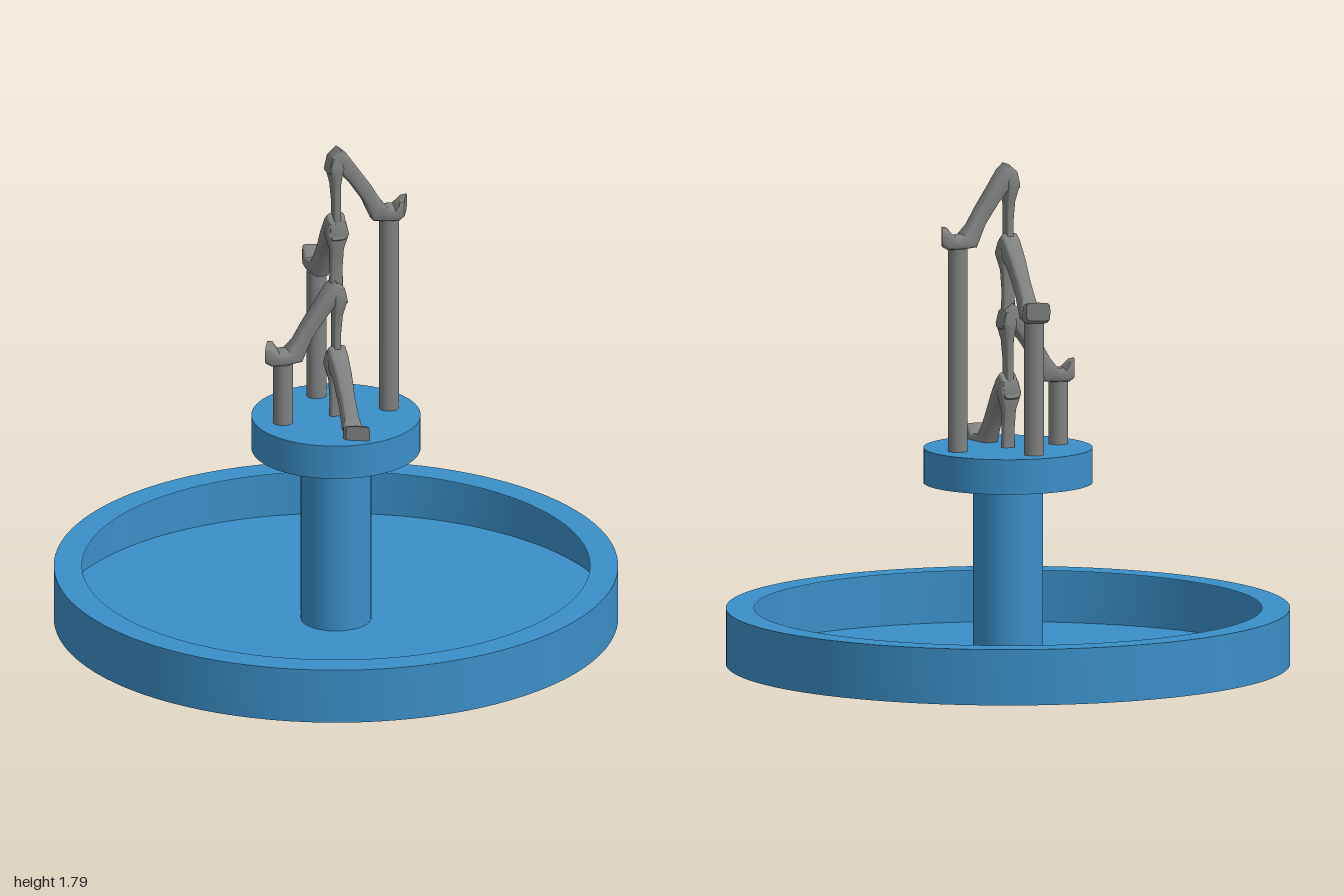
import * as THREE from 'three';
import { toCreasedNormals } from 'three/addons/utils/BufferGeometryUtils.js';

const SIDES = 16;

// Loft through rings: [topX, topY, bottomX, bottomY, zMin, zMax, skew]
function loft(rings) {
  const pos = [], idx = [];
  const centres = rings.map(([tx, ty, bx, by, z0, z1]) => [(tx + bx) / 2, (ty + by) / 2, (z0 + z1) / 2]);
  const square = (v) => (Math.abs(v) < 1e-6 ? 0 : Math.sign(v) * Math.pow(Math.abs(v), 0.4)); // boxy section
  rings.forEach(([tx, ty, bx, by, z0, z1, skew = 0], i) => {
    const [cx, cy, cz] = centres[i];
    for (let j = 0; j < SIDES; j++) {
      const t = (j / SIDES) * Math.PI * 2;
      const a = square(Math.cos(t)), b = square(Math.sin(t)) * (z1 - z0) / 2;
      pos.push(cx + a * (tx - bx) / 2 + skew * b, cy + a * (ty - by) / 2, cz + b);
    }
  });
  const last = rings.length - 1;
  pos.push(...centres[0], ...centres[last]);
  const start = rings.length * SIDES;
  for (let j = 0; j < SIDES; j++) {
    const k = (j + 1) % SIDES;
    for (let i = 0; i < last; i++) {
      const p = i * SIDES, q = p + SIDES;
      idx.push(p + j, q + j, p + k, p + k, q + j, q + k);
    }
    idx.push(start, j, k, start + 1, last * SIDES + k, last * SIDES + j);
  }
  const g = new THREE.BufferGeometry();
  g.setAttribute('position', new THREE.Float32BufferAttribute(pos, 3));
  g.setIndex(idx);
  return toCreasedNormals(g, 0.7);
}

export function createModel() {
  const model = new THREE.Group();
  model.name = 'fountain';
  const blue = new THREE.MeshStandardMaterial({ color: 0x3b8fc8, side: THREE.DoubleSide });
  blue.name = 'basin blue';
  const grey = new THREE.MeshStandardMaterial({ color: 0x808282 });
  grey.name = 'sculpture grey';

  const add = (parent, name, geometry, material, x = 0, y = 0, z = 0) => {
    const mesh = new THREE.Mesh(geometry, material);
    mesh.name = name;
    mesh.position.set(x, y, z);
    parent.add(mesh);
  };

  // Thin round basin: floor, wall and a flat lip turned inward
  const profile = [[0, 0], [1, 0], [1, 0.2], [0.9, 0.2]].map(([x, y]) => new THREE.Vector2(x, y));
  add(model, 'basin', toCreasedNormals(new THREE.LatheGeometry(profile, 96), 0.6), blue);

  // Column and round platform
  add(model, 'column', new THREE.CylinderGeometry(0.125, 0.125, 0.65, 48, 1, true), blue, 0, 0.325, 0);
  add(model, 'platform', new THREE.CylinderGeometry(0.3, 0.3, 0.125, 64), blue, 0, 0.7125, 0);

  // Sloping limb, from the foot at the outside to the knee in the middle
  const limb = loft([
    [0.258, 0.078, 0.258, 0.012, -0.026, 0.05, -0.5],
    [0.238, 0.074, 0.238, 0, -0.034, 0.055, -0.4],
    [0.215, 0.046, 0.212, 0, -0.036, 0.05, -0.2],
    [0.185, 0.05, 0.175, 0, -0.033, 0.04],
    [0.16, 0.085, 0.135, 0.002, -0.03, 0.028],
    [0.125, 0.143, 0.1, 0.08, -0.028, 0.027],
    [0.075, 0.215, 0.05, 0.155, -0.034, 0.029],
    [0.035, 0.272, 0.015, 0.195, -0.035, 0.034],
    [0.01, 0.294, -0.012, 0.185, -0.036, 0.036],
    [-0.022, 0.268, -0.036, 0.205, -0.03, 0.03],
  ]);
  // Upright shank standing on the knee below
  const shank = loft([
    [0.013, 0, -0.013, 0, -0.024, 0.024],
    [0.014, 0.09, -0.014, 0.09, -0.022, 0.022],
    [0.014, 0.16, -0.02, 0.16, -0.025, 0.025],
    [0.02, 0.22, -0.034, 0.22, -0.041, 0.041],
    [0.018, 0.262, -0.024, 0.262, -0.033, 0.033],
  ]);

  // Four stacked limbs, each a quarter turn on and one step higher: front, right, back, left
  for (let i = 0; i < 4; i++) {
    const y = 0.75 + 0.25 * i;
    const step = new THREE.Group();
    step.name = 'limbStep' + (i + 1);
    step.position.y = y;
    step.rotation.y = -Math.PI / 2 * (i + 1);
    add(step, 'limb', limb, grey);
    add(step, 'shank', shank, grey);
    if (i > 0) {
      const h = y - 0.75;
      add(step, 'post', new THREE.CylinderGeometry(0.035, 0.035, h, 24), grey, 0.2, 0.002 - h / 2, 0);
    }
    model.add(step);
  }
  return model;
}
